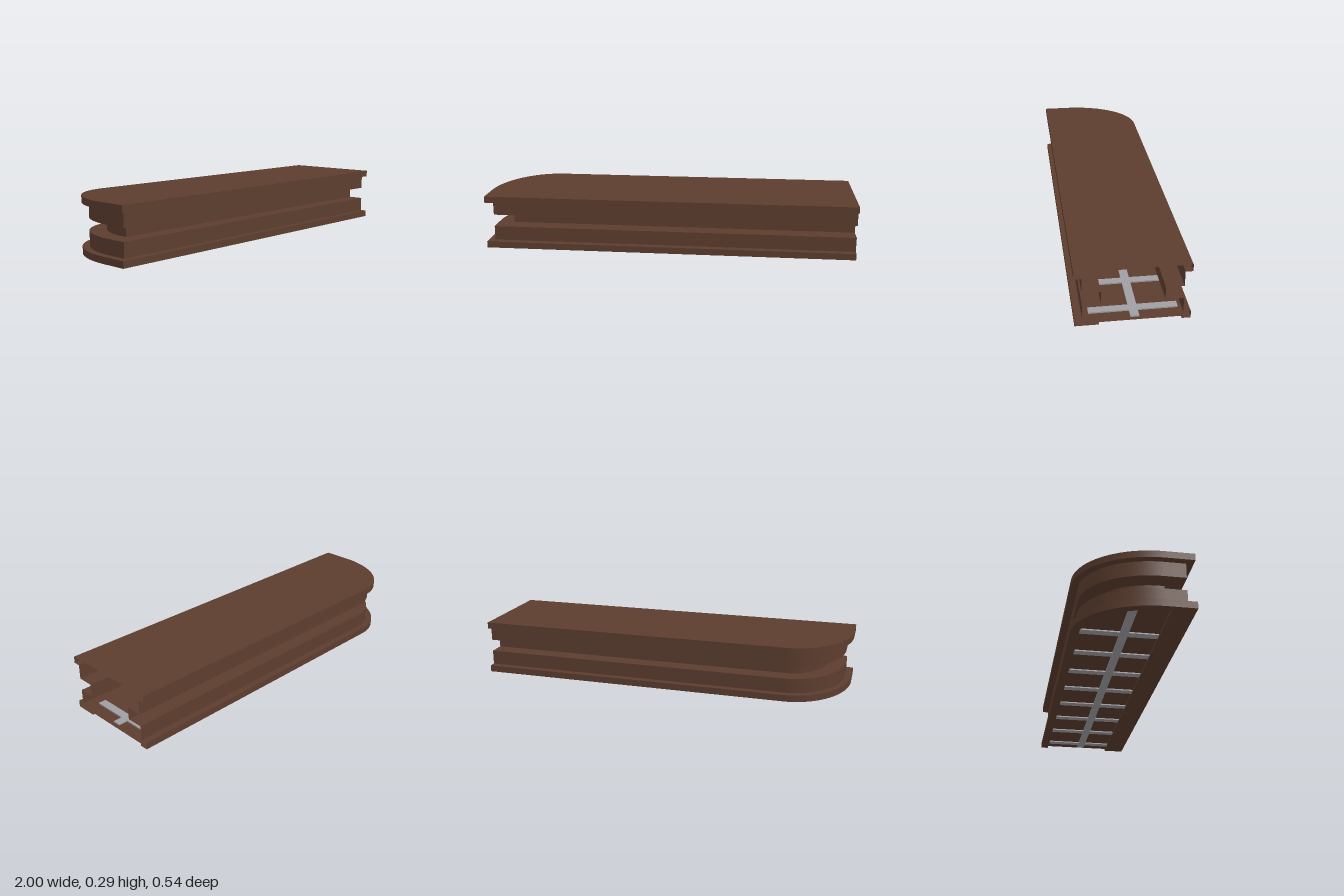
import * as THREE from 'three';
import { mergeGeometries, toCreasedNormals } from 'three/addons/utils/BufferGeometryUtils.js';

const HALF = 0.272;      // half depth
const HEIGHT = 0.291;
const FLOOR_Y = 0.013;

// Plan outline inset by d, as [x, z]: front edge, square corner, rounded back corner, back edge.
function outline(d, frontZ = HALF - d) {
  const cx = -0.68, cz = 0.13, points = [[1, frontZ], [-1 + d, frontZ]];
  const steps = 24;
  for (let i = 0; i <= steps; i++) {
    const a = (i / steps) * Math.PI / 2;
    points.push([cx - (0.32 - d) * Math.cos(a), cz - (cz + HALF - d) * Math.sin(a)]);
  }
  points.push([1, -HALF + d]);
  return points;
}

// Strip of faces between two outlines at two heights.
function band(lower, y0, upper, y1) {
  const positions = [], index = [];
  lower.forEach(([x, z], i) => {
    positions.push(x, y0, z, upper[i][0], y1, upper[i][1]);
    if (i) {
      const k = 2 * i - 2;
      index.push(k, k + 1, k + 2, k + 1, k + 3, k + 2);
    }
  });
  const g = new THREE.BufferGeometry();
  g.setAttribute('position', new THREE.Float32BufferAttribute(positions, 3));
  g.setIndex(index);
  return toCreasedNormals(g, 0.6);
}

// Flat horizontal sheet from plan points.
function sheet(points, y) {
  const shape = new THREE.Shape(points.map(([x, z]) => new THREE.Vector2(x, -z)));
  return new THREE.ShapeGeometry(shape).rotateX(-Math.PI / 2).translate(0, y, 0);
}

export function createModel() {
  const model = new THREE.Group();
  const brown = new THREE.MeshStandardMaterial({ color: 0x5c3d2e, side: THREE.DoubleSide });
  const grey = new THREE.MeshStandardMaterial({ color: 0xa0a0a4 });
  const add = (name, geometry, material, parent = model) => {
    const mesh = new THREE.Mesh(geometry, material);
    mesh.name = name;
    parent.add(mesh);
    return mesh;
  };

  // Stepped wall, open at the +x end: [inset, height] from the bottom up
  const profile = [
    [0, 0], [0, 0.035], [0.036, 0.035], [0.036, 0.113], [0.123, 0.113],
    [0.123, 0.179], [0.036, 0.179], [0.036, 0.256], [0, 0.256], [0, HEIGHT],
  ];
  const bands = [];
  for (let i = 1; i < profile.length; i++) {
    const [d0, y0] = profile[i - 1], [d1, y1] = profile[i];
    bands.push(band(outline(d0), y0, outline(d1), y1));
  }
  add('steppedWall', mergeGeometries(bands), brown);

  add('topPanel', sheet(outline(0), HEIGHT), brown);
  add('floorPanel', sheet(outline(0.002), FLOOR_Y), brown);

  // Bottom rim and its inner lip around the recessed floor
  const inner = outline(0.042, 0.157);
  add('bottomRim', sheet([...outline(0), ...inner.slice().reverse()], 0), brown);
  add('rimLip', band(inner, 0, inner, FLOOR_Y), brown);

  // Lattice of flat bars in the recess
  const lattice = new THREE.Group();
  lattice.name = 'floorLattice';
  model.add(lattice);
  add('longBar', new THREE.BoxGeometry(1.92, 0.014, 0.042), grey, lattice).position.set(0.02, 0.013, -0.012);
  for (let i = 0; i < 8; i++) {
    add('crossBar', new THREE.BoxGeometry(0.042, 0.0136, 0.426), grey, lattice)
      .position.set(0.91 - 0.228 * i, 0.013, -0.012);
  }
  return model;
}
